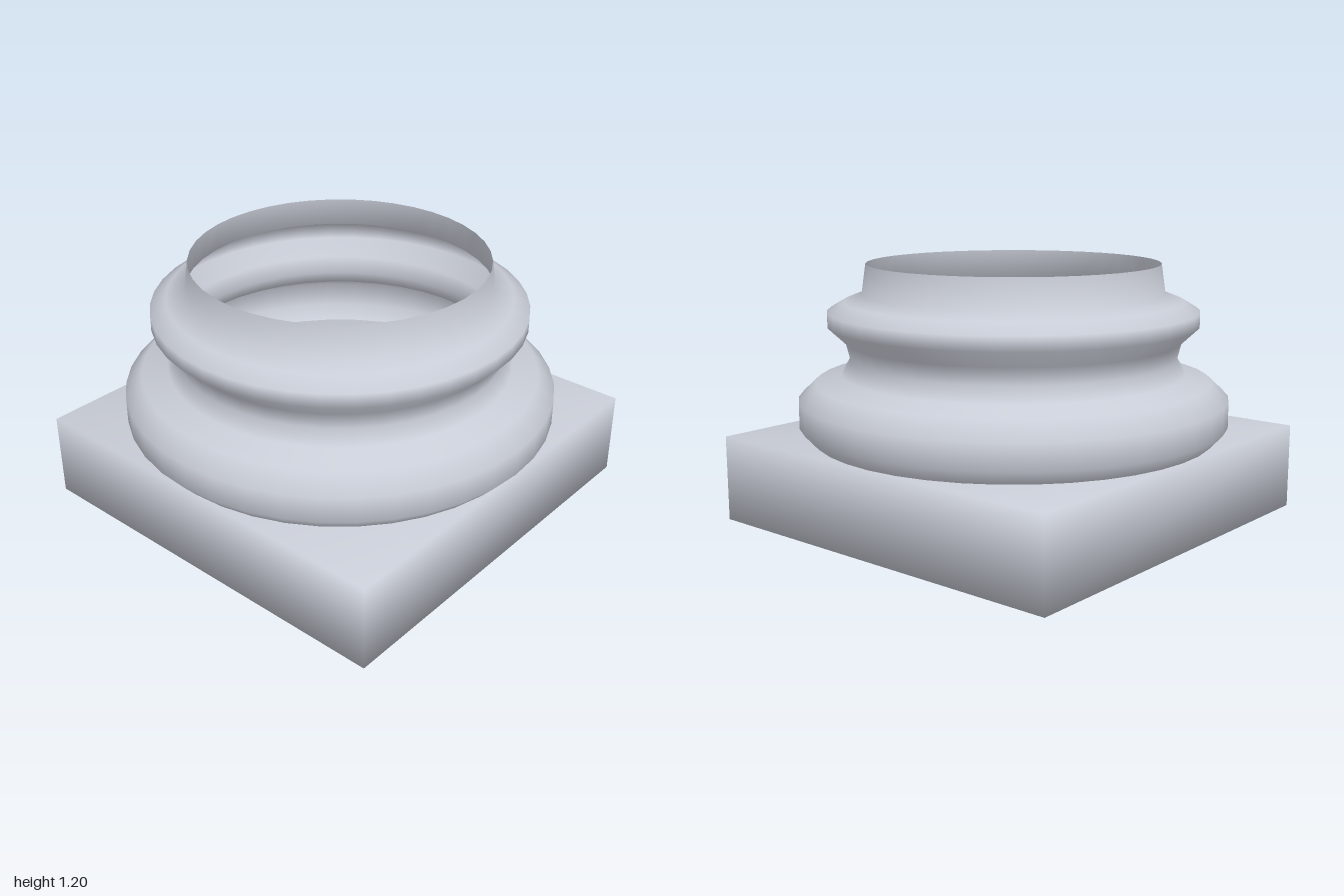
import * as THREE from 'three';
import { mergeVertices } from 'three/addons/utils/BufferGeometryUtils.js';

export function createModel() {
  const model = new THREE.Group();
  model.name = 'columnBase';

  const stone = new THREE.MeshStandardMaterial({ color: 0xc8ccd6, side: THREE.DoubleSide });
  stone.name = 'pale grey stone';

  // Square plinth with shared corner normals, so it shades softly
  let box = new THREE.BoxGeometry(1.9, 0.4, 1.9);
  box.deleteAttribute('normal');
  box.deleteAttribute('uv');
  box = mergeVertices(box);
  box.computeVertexNormals();
  const plinth = new THREE.Mesh(box, stone);
  plinth.name = 'plinth';
  plinth.position.y = 0.2;
  model.add(plinth);

  // Turned mouldings: lower torus, hollow, upper torus and open collar
  const profile = [
    [0.94, 0.4], [1.0, 0.465], [1.0, 0.585], [0.92, 0.66],
    [0.8, 0.695], [0.76, 0.765], [0.78, 0.845],
    [0.86, 0.92], [0.86, 0.985], [0.785, 1.03],
    [0.7, 1.062], [0.68, 1.2],
  ].map(([r, y]) => new THREE.Vector2(r, y));
  const mouldings = new THREE.Mesh(new THREE.LatheGeometry(profile, 40), stone);
  mouldings.name = 'turnedMouldings';
  model.add(mouldings);

  return model;
}
